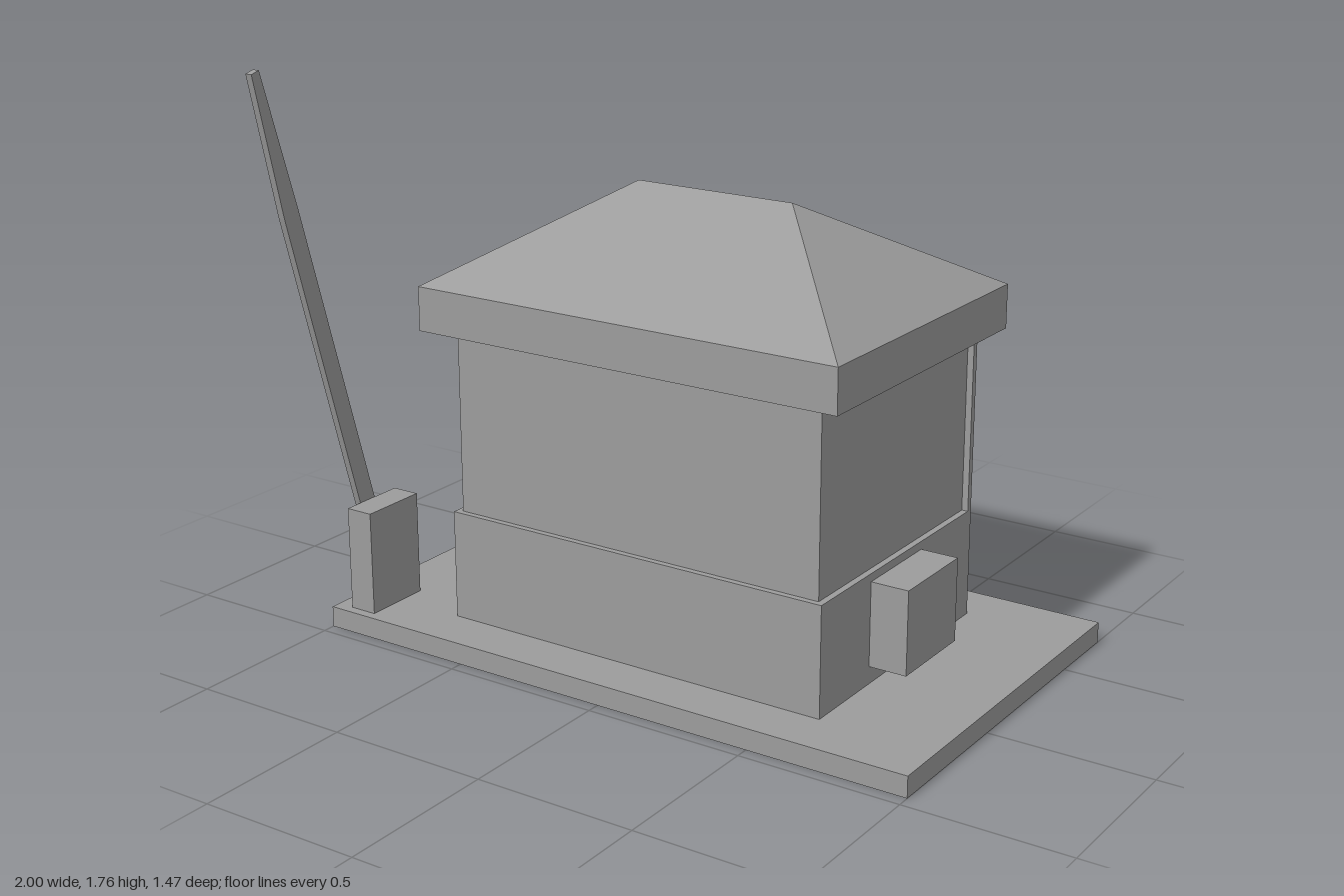
import * as THREE from 'three';

const material = new THREE.MeshStandardMaterial({
  color: 0x9c9c9c, flatShading: true, side: THREE.DoubleSide,
});

function add(group, name, geometry) {
  const mesh = new THREE.Mesh(geometry, material);
  mesh.name = name;
  group.add(mesh);
  return mesh;
}

// Box given by its extents on each axis
function box(group, name, [x0, x1], [y0, y1], [z0, z1]) {
  const mesh = add(group, name, new THREE.BoxGeometry(x1 - x0, y1 - y0, z1 - z0));
  mesh.position.set((x0 + x1) / 2, (y0 + y1) / 2, (z0 + z1) / 2);
  return mesh;
}

// Leaves out the underside of a box (its fourth face)
function openBottom(geometry) {
  const index = Array.from(geometry.index.array);
  index.splice(18, 6);
  geometry.setIndex(index);
}

// Hipped roof: a box whose top face is squeezed into a ridge line
function hipRoof(halfWidth, depth, height, halfRidge) {
  const geometry = new THREE.BoxGeometry(2 * halfWidth, height, depth);
  openBottom(geometry);
  const p = geometry.attributes.position;
  for (let i = 0; i < p.count; i++) {
    if (p.getY(i) > 0) {
      p.setX(i, Math.sign(p.getX(i)) * halfRidge);
      p.setZ(i, 0);
    }
  }
  geometry.computeVertexNormals();
  return geometry;
}

export function createModel() {
  const model = new THREE.Group();
  model.name = 'guardHouse';

  // Ground slab: a shallow tray, hollow from below
  const slab = box(model, 'baseSlab', [-1, 1], [0, 0.065], [-0.735, 0.46]);
  openBottom(slab.geometry);

  // Walls: wider plinth, set-back upper storey
  box(model, 'lowerWall', [-0.638, 0.638], [0.065, 0.403], [-0.555, 0.302]);
  box(model, 'upperWall', [-0.618, 0.618], [0.403, 0.968], [-0.555, 0.283]);

  // Back panels either side of the recessed doorway
  for (const side of [-1, 1]) {
    const x = [0.2 * side, 0.638 * side].sort((a, b) => a - b);
    box(model, side > 0 ? 'backPanelLeft' : 'backPanelRight', x, [0.065, 0.968], [-0.575, -0.555]);
  }

  // Roof
  box(model, 'eaves', [-0.704, 0.704], [0.968, 1.102], [-0.626, 0.352]);
  const roof = add(model, 'hipRoof', hipRoof(0.704, 0.978, 0.28, 0.263));
  roof.position.set(0, 1.102 + 0.14, -0.137);

  // Cabinet on the side wall
  box(model, 'sideCabinet', [0.638, 0.757], [0.119, 0.378], [-0.265, 0.029]);

  // Barrier: post and raised arm that tapers towards the tip
  box(model, 'barrierPost', [-0.946, -0.858], [0.065, 0.388], [0.214, 0.43]);
  const outline = [
    [0.29, 0.09], [0.635, 1.325], [0.735, 1.754],
    [0.705, 1.762], [0.577, 1.342], [0.229, 0.107],
  ].map(([z, y]) => new THREE.Vector2(z, y));
  const arm = add(model, 'barrierArm', new THREE.ExtrudeGeometry(
    new THREE.Shape(outline), { depth: 0.022, bevelEnabled: false }));
  arm.rotation.y = -Math.PI / 2;
  arm.position.x = -0.946;

  return model;
}
